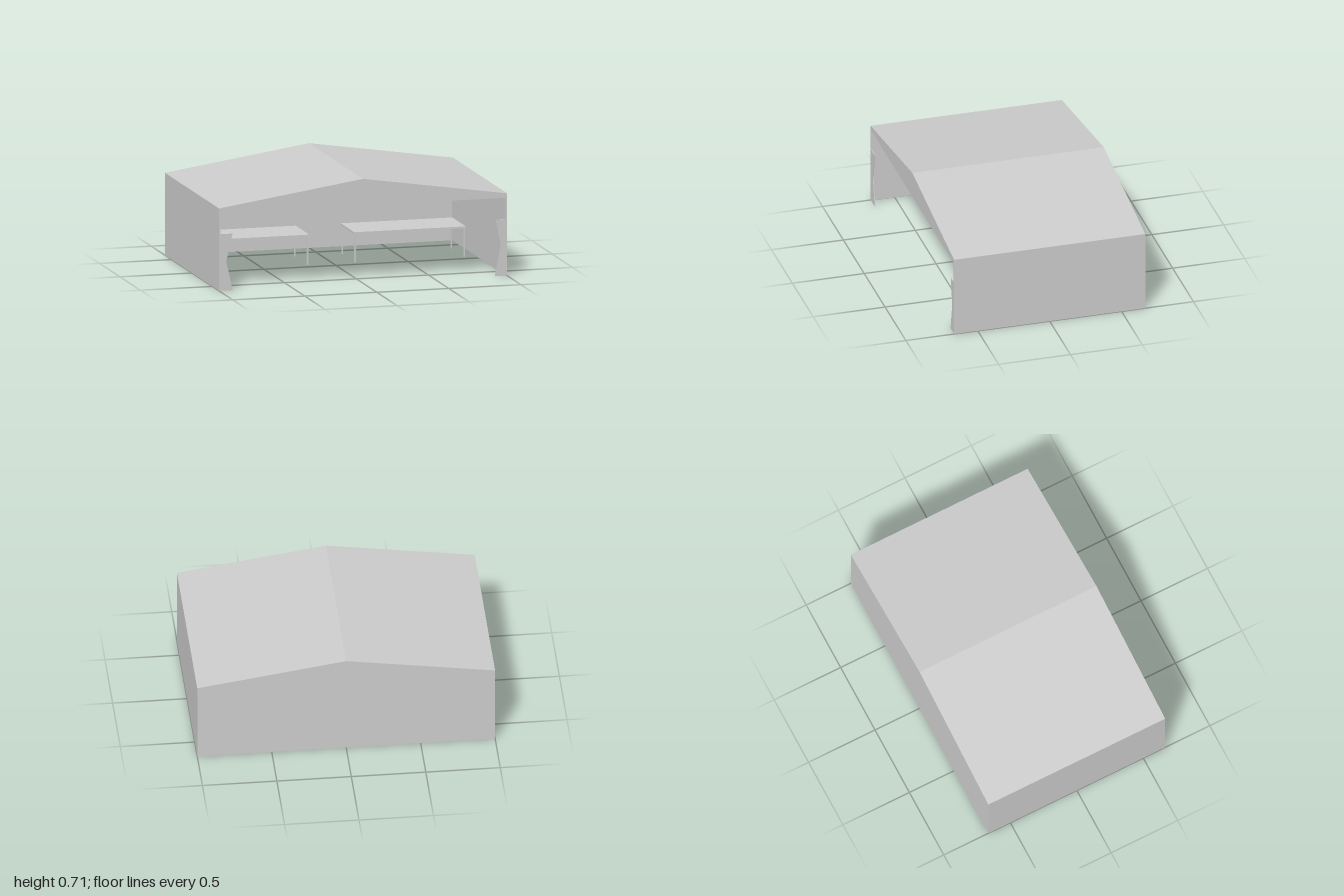
import * as THREE from 'three';

const HALF_W = 1, HALF_D = 0.665, EAVE = 0.56, RIDGE = 0.71, T = 0.01;
const material = new THREE.MeshStandardMaterial({ color: 0xcccccc, flatShading: true });

// Extrudes an outline in the xy plane from z0 to z1.
function slab(name, points, z0, z1) {
  const shape = new THREE.Shape(points.map(([x, y]) => new THREE.Vector2(x, y)));
  const geometry = new THREE.ExtrudeGeometry(shape, { depth: z1 - z0, bevelEnabled: false });
  geometry.translate(0, 0, z0);
  const mesh = new THREE.Mesh(geometry, material);
  mesh.name = name;
  return mesh;
}

// Box given by its lower and upper limits on each axis.
function box(name, [x0, x1], [y0, y1], [z0, z1]) {
  const mesh = new THREE.Mesh(new THREE.BoxGeometry(x1 - x0, y1 - y0, z1 - z0), material);
  mesh.position.set((x0 + x1) / 2, (y0 + y1) / 2, (z0 + z1) / 2);
  mesh.name = name;
  return mesh;
}

// Thin top on four slender legs.
function createTable(name, x0, x1, z0, z1) {
  const table = new THREE.Group();
  table.name = name;
  const top = 0.208, under = 0.195, leg = 0.01, inset = 0.004;
  table.add(box('tableTop', [x0, x1], [under, top], [z0, z1]));
  for (const x of [x0 + inset, x1 - inset - leg]) {
    for (const z of [z0 + inset, z1 - inset - leg]) {
      table.add(box('tableLeg', [x, x + leg], [0, under], [z, z + leg]));
    }
  }
  return table;
}

export function createModel() {
  const model = new THREE.Group();
  model.name = 'shed';
  const inner = HALF_W - T, eaveIn = EAVE - T, ridgeIn = RIDGE - T;

  // Side walls and pitched roof share one thin profile, open below.
  model.add(slab('wallsAndRoof', [
    [-HALF_W, 0], [-inner, 0], [-inner, eaveIn], [0, ridgeIn], [inner, eaveIn],
    [inner, 0], [HALF_W, 0], [HALF_W, EAVE], [0, RIDGE], [-HALF_W, EAVE],
  ], -HALF_D, HALF_D));

  // Full back wall, and a gable above the open front.
  const gable = (bottom) => [
    [-inner, bottom], [inner, bottom], [inner, eaveIn], [0, ridgeIn], [-inner, eaveIn],
  ];
  model.add(slab('backWall', gable(0), -HALF_D, -HALF_D + T));
  model.add(slab('frontGable', gable(0.53), HALF_D - T, HALF_D));

  // Notched panels at both sides of the opening.
  const panels = [
    ['rightFrontPanel', -1, 0.905, 0.95, 0.905],
    ['leftFrontPanel', 1, 0.915, 0.955, 0.92],
  ];
  for (const [name, side, low, mid, high] of panels) {
    model.add(slab(name, [
      [side * inner, 0], [side * low, 0], [side * mid, 0.2],
      [side * high, 0.385], [side * inner, 0.385],
    ], HALF_D - 0.005, HALF_D));
  }

  // Two long tables towards the back.
  model.add(createTable('rightTable', -0.945, -0.17, -0.39, -0.055));
  model.add(createTable('leftTable', 0.142, 0.917, -0.39, -0.055));
  return model;
}
